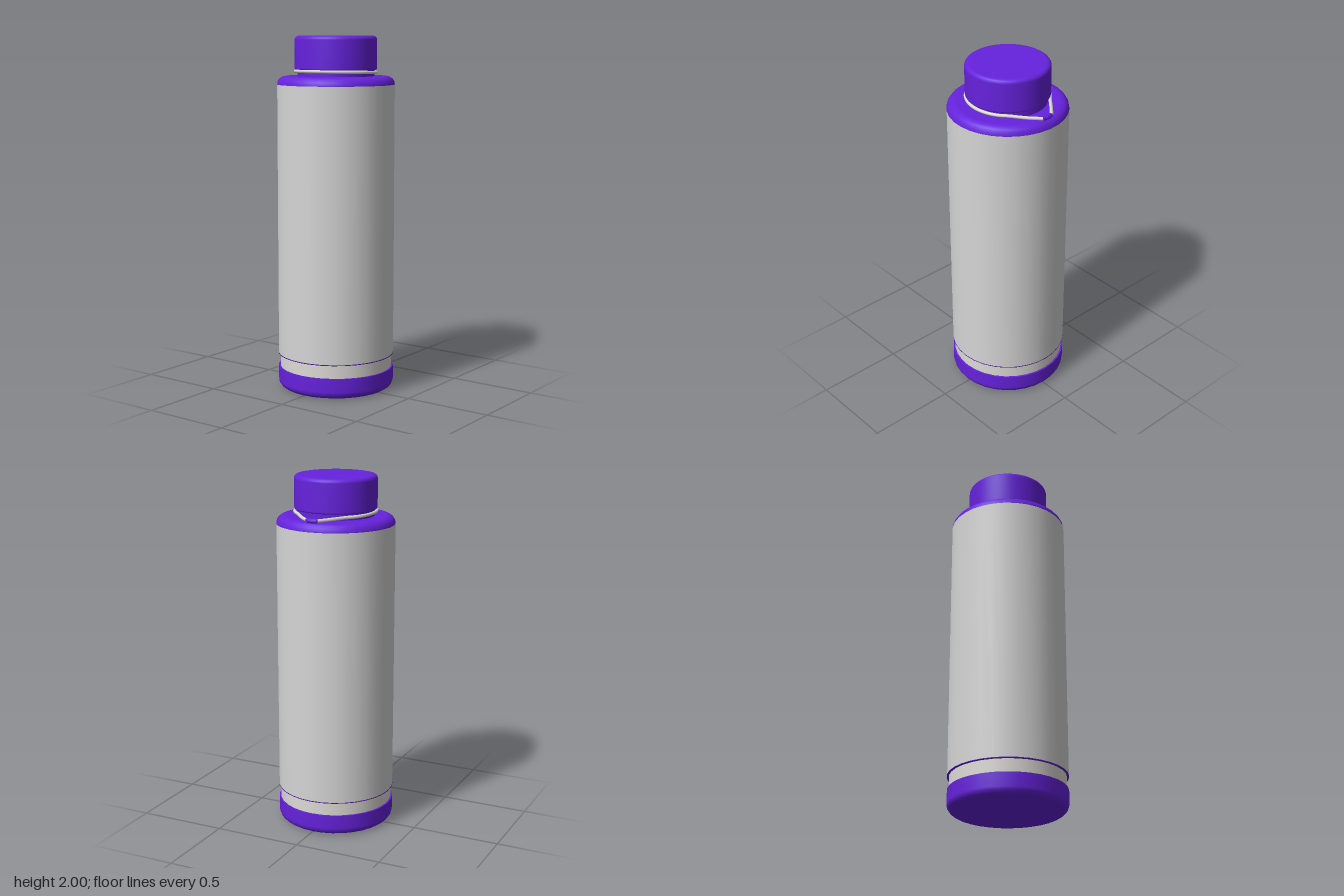
import * as THREE from 'three';

const purple = new THREE.MeshStandardMaterial({ color: 0x6622dd });
purple.name = 'purple';
const steel = new THREE.MeshStandardMaterial({ color: 0xd6d6d6 });
steel.name = 'steel grey';
const pale = new THREE.MeshStandardMaterial({ color: 0xdddbd6 });
pale.name = 'pale grey';

const V = (x, y, z) => new THREE.Vector3(x, y, z);

// Quarter round of radius b about (cx, cy), angles in quarter turns
function corner(cx, cy, b, from, to, steps = 4) {
  return Array.from({ length: steps + 1 }, (_, i) => {
    const a = (from + (to - from) * i / steps) * Math.PI / 2;
    return [cx + b * Math.cos(a), cy + b * Math.sin(a)];
  });
}

export function createModel() {
  const bottle = new THREE.Group();
  bottle.name = 'bottle';

  const add = (name, geometry, material) => {
    const mesh = new THREE.Mesh(geometry, material);
    mesh.name = name;
    bottle.add(mesh);
  };
  const turned = (name, profile, material, sides = 32) =>
    add(name, new THREE.LatheGeometry(profile.map(p => new THREE.Vector2(...p)), sides), material);

  // Rounded foot and its flat ledge
  turned('base', [[0, 0], [0.285, 0], ...corner(0.288, 0.042, 0.042, -1, 0), [0.33, 0.12]], purple);
  turned('baseLedge', [[0.33, 0.12], [0.3, 0.12]], purple);

  // Recessed band and main sleeve
  turned('recessedBand', [[0.32, 0.118], [0.32, 0.2]], pale);
  turned('sleeveLowerRim', [[0.3, 0.195], [0.331, 0.195], [0.331, 0.2]], purple);
  turned('sleeve', [[0.33, 0.2], [0.33, 1.73]], steel);

  // Rounded shoulder, neck and screw cap
  turned('shoulder', [[0.33, 1.73], ...corner(0.285, 1.732, 0.045, 0, 1), [0.28, 1.777], [0.19, 1.777]], purple);
  turned('neck', [[0.215, 1.77], [0.215, 1.82]], purple, 48);
  turned('cap', [[0, 1.812], [0.222, 1.812], ...corner(0.222, 1.82, 0.008, -1, 0, 2),
    ...corner(0.208, 1.978, 0.022, 0, 1), [0.2, 2], [0, 2]], purple, 64);

  // Wire loop around the neck, drawn out to a point on the left side
  const path = [V(0.3, 1.788, 0.027), V(0.245, 1.791, 0.085)];
  const start = 0.72;
  for (let i = 0; i <= 28; i++) {
    const a = start + (2 * Math.PI - 2 * start) * i / 28;
    path.push(V(0.226 * Math.cos(a), 1.8 - 0.006 * Math.cos(a), 0.226 * Math.sin(a)));
  }
  path.push(V(0.245, 1.791, -0.085), V(0.3, 1.788, -0.035));
  add('wireLoop', new THREE.TubeGeometry(new THREE.CatmullRomCurve3(path), 120, 0.0095, 8), pale);

  // Clip that joins the wire ends
  const clip = new THREE.CatmullRomCurve3([V(0.296, 1.787, 0.023), V(0.302, 1.787, -0.005), V(0.296, 1.787, -0.033)]);
  add('wireClip', new THREE.TubeGeometry(clip, 8, 0.0125, 10), purple);
  for (const [z, turn] of [[0.023, 0], [-0.033, Math.PI]]) {
    const end = new THREE.CircleGeometry(0.0125, 10).rotateY(turn).translate(0.296, 1.787, z);
    add('clipEnd', end, purple);
  }

  return bottle;
}
